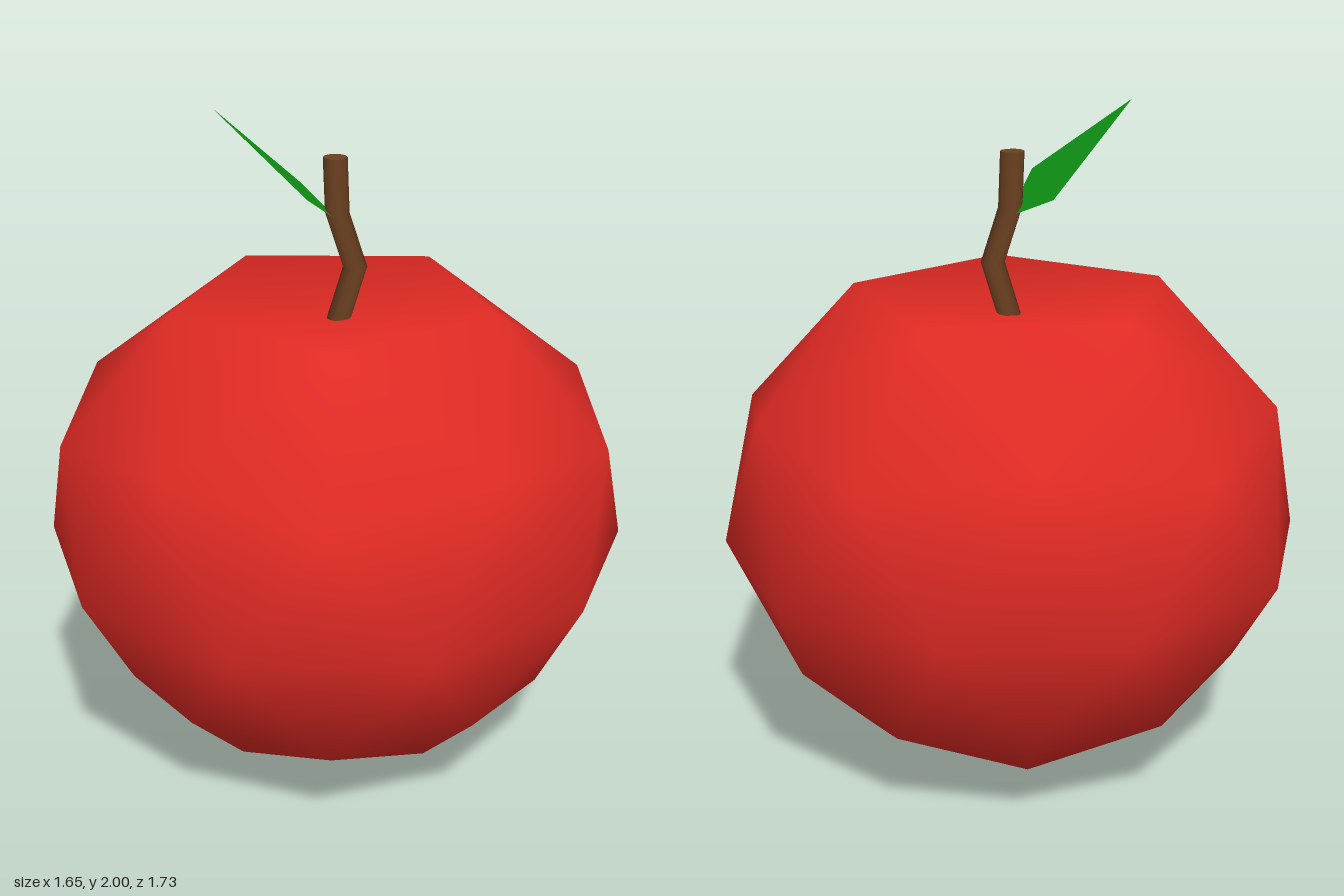
import * as THREE from 'three';
import { mergeVertices } from 'three/addons/utils/BufferGeometryUtils.js';

const mat = (color) => new THREE.MeshStandardMaterial({ color, side: THREE.DoubleSide });

// Body: a once-subdivided icosahedron standing on a corner, each level moved to its own height and radius
function bodyGeometry() {
  const corners = [0, 1, 0];
  const faces = [];
  for (const [y, turn] of [[0.4472, 0], [-0.4472, 0.5]]) {
    for (let i = 0; i < 5; i++) {
      const a = (i + turn) * Math.PI * 0.4;
      corners.push(0.8944 * Math.cos(a), y, -0.8944 * Math.sin(a));
    }
  }
  corners.push(0, -1, 0);
  for (let i = 0; i < 5; i++) {
    const j = (i + 1) % 5;
    const u = 1 + i, v = 1 + j, p = 6 + i, q = 6 + j;
    faces.push(0, u, v, u, p, v, v, p, q, 11, q, p);
  }
  const geo = new THREE.PolyhedronGeometry(corners, faces, 1, 1);
  geo.deleteAttribute('uv');
  geo.deleteAttribute('normal');

  // [height on the unit sphere, new height, new radius]
  const levels = [
    [1, 1.38, 0], [0.851, 1.45, 0.482], [0.526, 1.15, 0.78 / Math.cos(0)],
    [0.447, 1.08, 0.82], [0, 0.7, 0.866], [-0.447, 0.35, 0.68],
    [-0.526, 0.29, 0.643], [-0.851, 0.135, 0.458], [-1, 0, 0],
  ];
  const pos = geo.attributes.position;
  for (let i = 0; i < pos.count; i++) {
    const x = pos.getX(i), y = pos.getY(i), z = pos.getZ(i);
    const [, h, r] = levels.find((l) => Math.abs(l[0] - y) < 0.03);
    const len = Math.hypot(x, z) || 1;
    pos.setXYZ(i, (x / len) * r, h, (z / len) * r);
  }
  const merged = mergeVertices(geo, 1e-3);
  merged.computeVertexNormals();
  return merged;
}

// Stem: a cylinder whose rings follow a bent centre line, top to bottom
function stemGeometry() {
  const centres = [[0, 1.86, 0], [0.003, 1.7, 0.005], [0.035, 1.54, 0.045], [0, 1.35, 0]];
  const geo = new THREE.CylinderGeometry(0.035, 0.035, 3, 10, 3);
  const pos = geo.attributes.position;
  for (let i = 0; i < pos.count; i++) {
    const [x, y, z] = centres[Math.round(1.5 - pos.getY(i))];
    pos.setXYZ(i, pos.getX(i) + x, y, pos.getZ(i) + z);
  }
  return geo;
}

// Leaf: one thin kite, from its base round to the tip
function leafGeometry() {
  const geo = new THREE.BufferGeometry();
  geo.setAttribute('position', new THREE.Float32BufferAttribute([
    0.01, 1.67, 0.01,
    0.06, 1.745, -0.168,
    -0.21, 2, -0.27,
    -0.175, 1.78, 0.035,
  ], 3));
  geo.setIndex([0, 1, 2, 0, 2, 3]);
  geo.computeVertexNormals();
  return geo;
}

export function createModel() {
  const group = new THREE.Group();
  group.name = 'apple';
  const add = (name, geo, color) => {
    const mesh = new THREE.Mesh(geo, mat(color));
    mesh.name = name;
    group.add(mesh);
  };
  add('body', bodyGeometry(), 0xe02a24);
  add('stem', stemGeometry(), 0x6b4020);
  add('leaf', leafGeometry(), 0x0f9414);
  return group;
}
